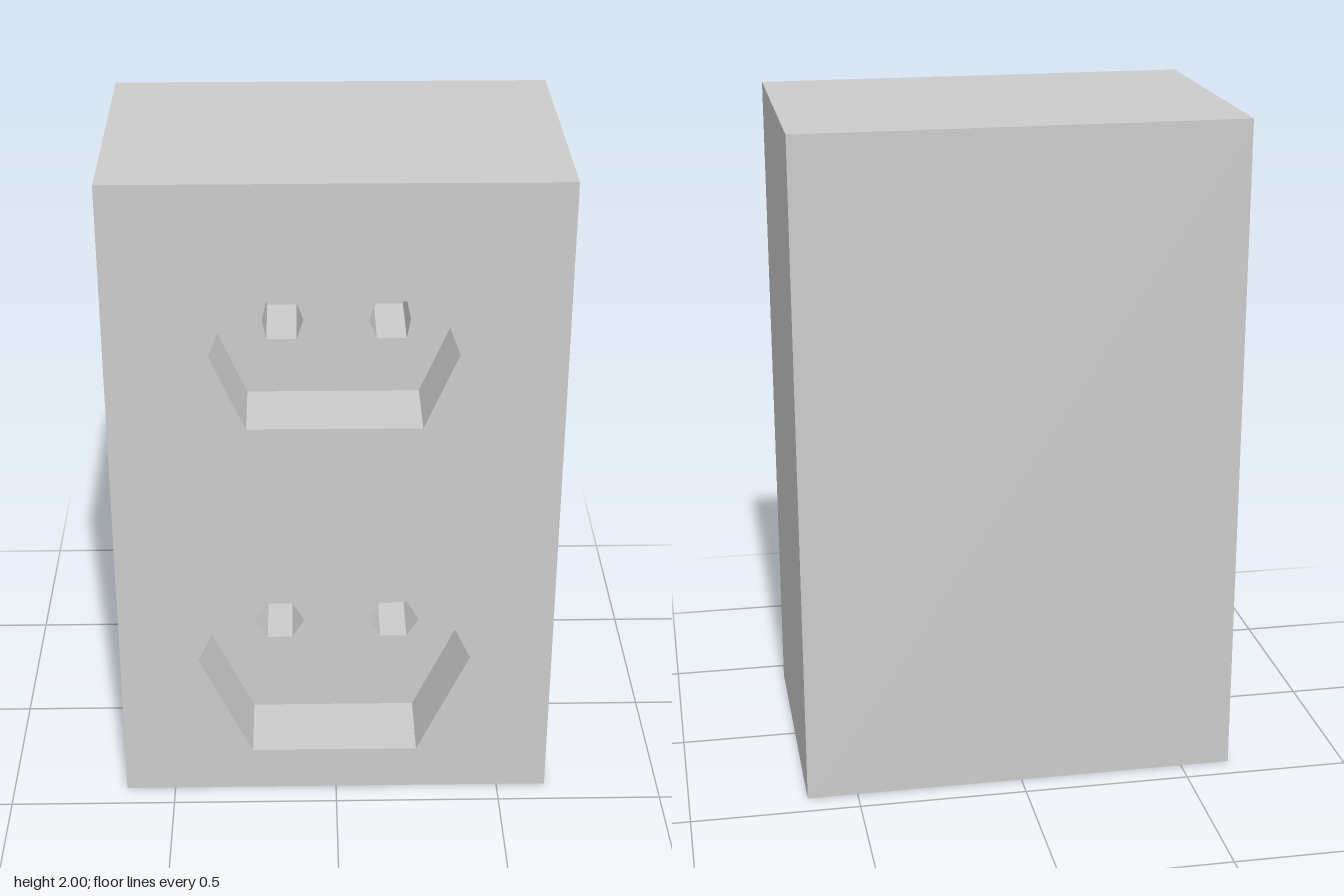
import * as THREE from 'three';

const W = 1.3, H = 2, D = 0.85;
const FRONT = D / 2, FLOOR = FRONT - 0.24, END = FLOOR - 0.24;

// Hexagon with flat top and bottom, counter-clockwise seen from the front
const hexagon = (left, flatL, flatR, right, bottom, mid, top) => [
  [flatL, bottom], [flatR, bottom], [right, mid],
  [flatR, top], [flatL, top], [left, mid],
].map(([x, y]) => new THREE.Vector2(x, y));

const sockets = [
  {
    name: 'upperSocket',
    outline: hexagon(-0.357, -0.256, 0.247, 0.346, 1.26, 1.49, 1.757),
    pins: [
      hexagon(-0.211, -0.198, -0.11, -0.09, 1.43, 1.49, 1.545),
      hexagon(0.098, 0.122, 0.209, 0.22, 1.43, 1.49, 1.545),
    ],
  },
  {
    name: 'lowerSocket',
    outline: hexagon(-0.415, -0.256, 0.247, 0.404, 0.14, 0.477, 0.802),
    pins: [
      hexagon(-0.248, -0.209, -0.132, -0.095, 0.398, 0.461, 0.522),
      hexagon(0.103, 0.143, 0.225, 0.262, 0.398, 0.461, 0.522),
    ],
  },
];

export function createModel() {
  const model = new THREE.Group();
  model.name = 'socketBlock';
  const material = new THREE.MeshStandardMaterial({ color: 0xcccccc, flatShading: true });

  const add = (parent, name, geometry) => {
    const mesh = new THREE.Mesh(geometry, material);
    mesh.name = name;
    parent.add(mesh);
  };

  // Flat face towards +z with optional openings
  const face = (points, holes, z) => {
    const shape = new THREE.Shape(points);
    shape.holes = holes.map((h) => new THREE.Path(h));
    return new THREE.ShapeGeometry(shape).translate(0, 0, z);
  };

  // Inward-facing walls of a recess
  const walls = (points, zFront, zBack) => {
    const pos = [];
    points.forEach((a, i) => {
      const b = points[(i + 1) % points.length];
      pos.push(a.x, a.y, zFront, b.x, b.y, zFront, b.x, b.y, zBack);
      pos.push(a.x, a.y, zFront, b.x, b.y, zBack, a.x, a.y, zBack);
    });
    const geometry = new THREE.BufferGeometry();
    geometry.setAttribute('position', new THREE.Float32BufferAttribute(pos, 3));
    geometry.computeVertexNormals();
    return geometry;
  };

  // Housing: a box left open at the front
  const box = new THREE.BoxGeometry(W, H, D).translate(0, H / 2, 0);
  const index = Array.from(box.index.array);
  index.splice(24, 6);
  box.setIndex(index);
  box.clearGroups();
  add(model, 'housing', box);

  // Front plate with the two socket openings
  const plate = [[-W / 2, 0], [W / 2, 0], [W / 2, H], [-W / 2, H]]
    .map(([x, y]) => new THREE.Vector2(x, y));
  add(model, 'frontPlate', face(plate, sockets.map((s) => s.outline), FRONT));

  // Recessed sockets with a pair of pin holes each
  for (const { name, outline, pins } of sockets) {
    const socket = new THREE.Group();
    socket.name = name;
    add(socket, 'recessWalls', walls(outline, FRONT, FLOOR));
    add(socket, 'recessFloor', face(outline, pins, FLOOR));
    pins.forEach((pin, i) => {
      const side = i ? 'left' : 'right';
      add(socket, `${side}PinHoleWalls`, walls(pin, FLOOR, END));
      add(socket, `${side}PinHoleEnd`, face(pin, [], END));
    });
    model.add(socket);
  }
  return model;
}
